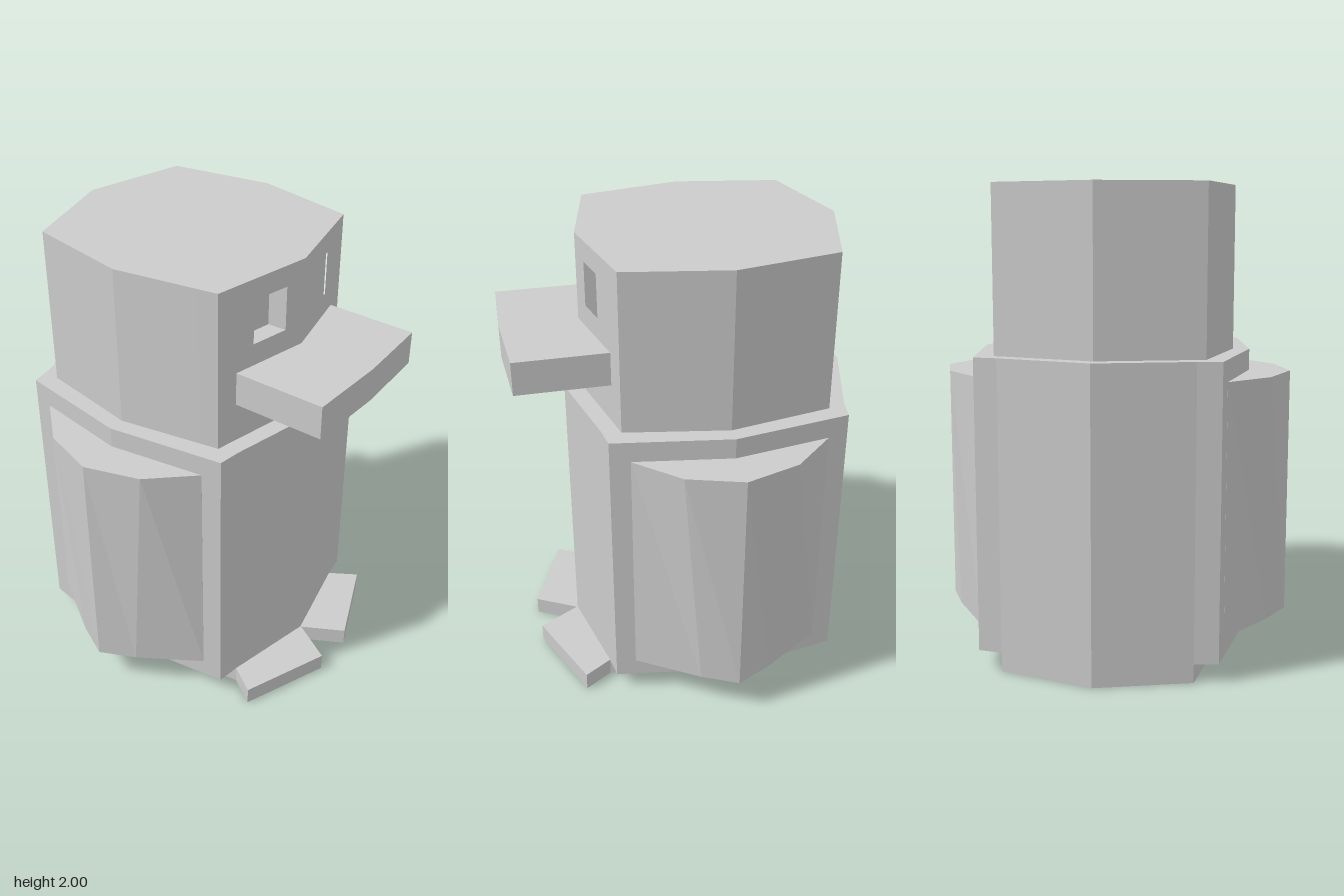
import * as THREE from 'three';

const material = new THREE.MeshStandardMaterial({ color: 0xcccccc, flatShading: true });
const MID = -0.115; // x of the widest point

// Mirror half an outline (z >= 0, front to back) across z = 0
function mirrored(half) {
  const other = half.filter(p => p[1] > 0).map(([x, z]) => [x, -z]).reverse();
  return [...half, ...other];
}

// Vertical prism from an outline of [x, z] points
function prism(points, y0, y1) {
  const shape = new THREE.Shape(points.map(([x, z]) => new THREE.Vector2(x, -z)));
  const geometry = new THREE.ExtrudeGeometry(shape, { depth: y1 - y0, bevelEnabled: false });
  geometry.rotateX(-Math.PI / 2);
  geometry.translate(0, y0, 0);
  return geometry;
}

// Half of the face: a thick panel with a square eye socket, bent onto the head's front
function facePanel(side, depth) {
  const outline = (a, b, y0, y1) =>
    [[a, y0], [b, y0], [b, y1], [a, y1]].map(([u, v]) => new THREE.Vector2(side * u, v));
  const shape = new THREE.Shape(outline(0, 0.43, 1.31, 2));
  shape.holes.push(new THREE.Path(outline(0.09, 0.255, 1.72, 1.91)));
  const geometry = new THREE.ExtrudeGeometry(shape, { depth, bevelEnabled: false });
  const p = geometry.attributes.position;
  for (let i = 0; i < p.count; i++) {
    const u = p.getX(i), w = p.getZ(i);
    const front = 0.415 - Math.abs(u) * 0.095 / 0.43;
    p.setXYZ(i, front - w, p.getY(i), u * (1 + 0.035 * w / depth));
  }
  geometry.computeVertexNormals();
  return geometry;
}

// Wing: faceted bulge whose facets draw together towards the bottom
function wing(side) {
  const points = [[0.30, 0.45], [0.30, 0.514], [0.12, 0.68], [MID, 0.755],
    [-0.35, 0.68], [-0.53, 0.514], [-0.53, 0.45]];
  const geometry = prism(points.map(([x, z]) => [x, z * side]), 0.16, 1.22);
  const p = geometry.attributes.position;
  for (let i = 0; i < p.count; i++) {
    if (p.getY(i) < 0.5 && Math.abs(Math.abs(p.getZ(i)) - 0.68) < 0.01) {
      p.setX(i, MID + (p.getX(i) - MID) * 0.66);
    }
  }
  geometry.computeVertexNormals();
  return geometry;
}

export function createModel() {
  const model = new THREE.Group();
  const add = (name, geometry) => {
    const mesh = new THREE.Mesh(geometry, material);
    mesh.name = name;
    model.add(mesh);
  };

  // Base with two splayed feet
  add('feet', prism(mirrored([[0.495, 0], [0.675, 0.1], [0.52, 0.475], [0.40, 0.4],
    [MID, 0.48], [-0.63, 0.4], [-0.745, 0]]), 0, 0.08));

  // Body
  add('body', prism(mirrored([[0.49, 0], [0.40, 0.4], [0.385, 0.5], [MID, 0.58],
    [-0.615, 0.5], [-0.63, 0.4], [-0.745, 0]]), 0.08, 1.31));

  // Head, set back behind the face panels
  const depth = 0.08;
  add('head', prism(mirrored([[0.415 - depth, 0], [0.32 - depth, 0.445], [MID, 0.51],
    [-0.555, 0.43], [-0.675, 0]]), 1.31, 2));

  // Face halves with eye sockets, and wings
  for (const side of [1, -1]) {
    const label = side > 0 ? 'Front' : 'Back';
    add('face' + label, facePanel(side, depth));
    add('wing' + label, wing(side));
  }

  // Beak
  add('beak', prism(mirrored([[0.745, 0], [0.73, 0.34], [0.335, 0.34], [0.40, 0]]), 1.48, 1.625));

  return model;
}
